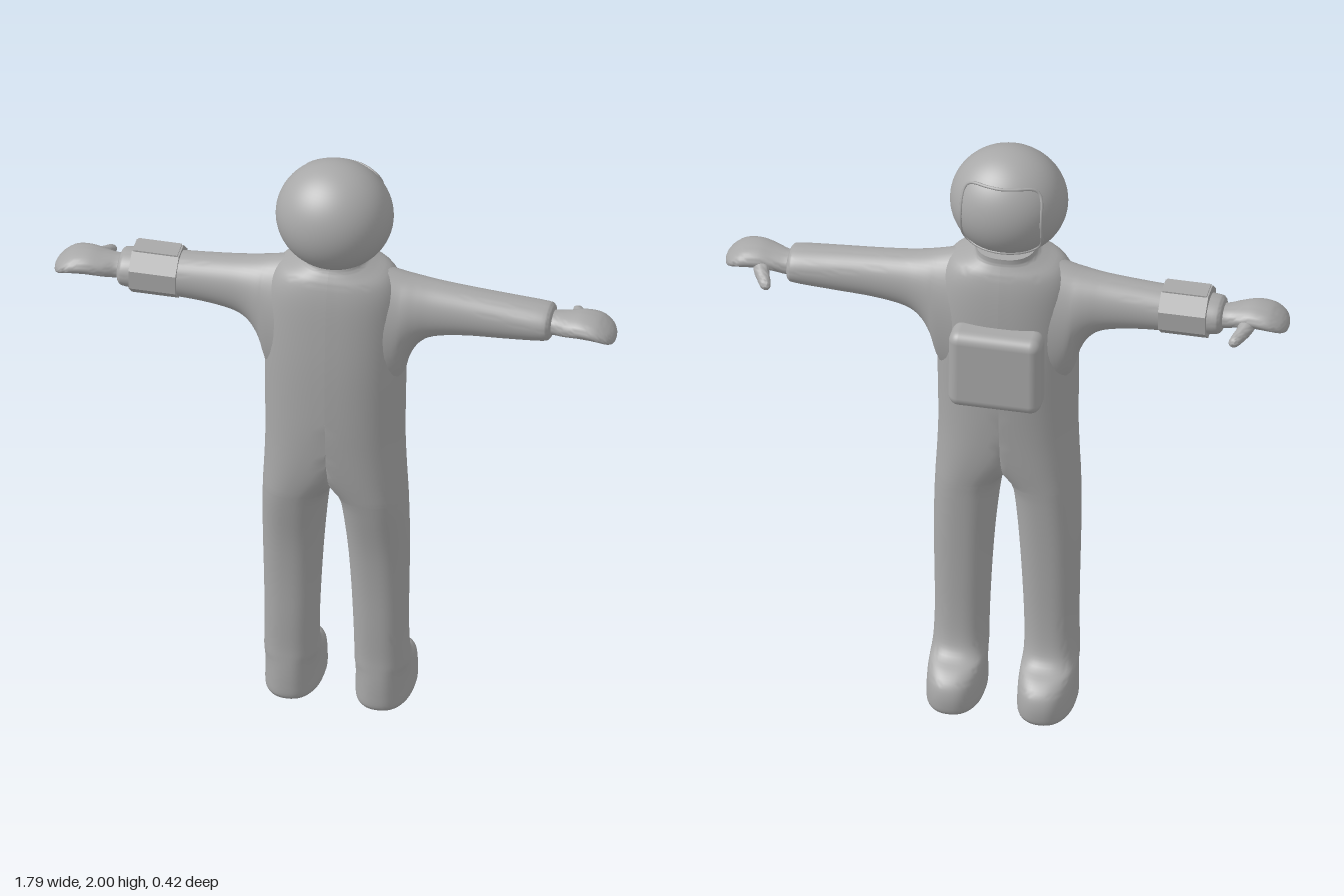
import * as THREE from 'three';
import { toCreasedNormals } from 'three/addons/utils/BufferGeometryUtils.js';
import { RoundedBoxGeometry } from 'three/addons/geometries/RoundedBoxGeometry.js';

// Catmull-Rom resampling of table rows
function resample(rows, steps) {
  const out = [];
  const row = i => rows[Math.min(rows.length - 1, Math.max(0, i))];
  for (let i = 0; i < rows.length - 1; i++) {
    for (let k = 0; k < steps; k++) {
      const t = k / steps;
      out.push(row(i).map((p1, c) => {
        const p0 = row(i - 1)[c], p2 = row(i + 1)[c], p3 = row(i + 2)[c];
        return p1 + 0.5 * t * (p2 - p0 + t * (2 * p0 - 5 * p1 + 4 * p2 - p3 + t * (3 * (p1 - p2) + p3 - p0)));
      }));
    }
  }
  out.push(rows[rows.length - 1]);
  return out;
}

// Loft of superellipse sections; row = [s, aMin, aMax, bMin, bMax], place maps (s, a, b) to xyz
function loft(rows, place, flip, power = 2.3, steps = 4, n = 48) {
  const rings = resample(rows, steps), pos = [], idx = [];
  const bend = v => Math.sign(v) * Math.pow(Math.abs(v), 2 / power);
  const tri = (a, b, c) => (flip ? idx.push(a, c, b) : idx.push(a, b, c));
  for (const [s, a0, a1, b0, b1] of rings) {
    for (let j = 0; j < n; j++) {
      const t = (j / n) * Math.PI * 2;
      pos.push(...place(s, (a0 + a1) / 2 + (a1 - a0) / 2 * bend(Math.cos(t)), (b0 + b1) / 2 + (b1 - b0) / 2 * bend(Math.sin(t))));
    }
  }
  for (let i = 0; i < rings.length - 1; i++) {
    for (let j = 0; j < n; j++) {
      const a = i * n + j, b = i * n + (j + 1) % n;
      tri(a, b, b + n);
      tri(a, b + n, a + n);
    }
  }
  // end caps
  for (const [ring, start] of [[rings[0], 0], [rings[rings.length - 1], (rings.length - 1) * n]]) {
    const c = pos.length / 3;
    pos.push(...place(ring[0], (ring[1] + ring[2]) / 2, (ring[3] + ring[4]) / 2));
    for (let j = 0; j < n; j++) {
      const a = start + j, b = start + (j + 1) % n;
      if (start) tri(a, b, c); else tri(b, a, c);
    }
  }
  const g = new THREE.BufferGeometry();
  g.setAttribute('position', new THREE.Float32BufferAttribute(pos, 3));
  g.setIndex(idx);
  return toCreasedNormals(g, 0.9);
}

// Half of the suit: boot, leg and torso up to the collar [y, xMin, xMax, zMin, zMax]
const BODY = [
  [0, 0.064, 0.226, -0.195, 0.086],
  [0.015, 0.055, 0.234, -0.204, 0.094],
  [0.06, 0.055, 0.234, -0.206, 0.096],
  [0.1, 0.056, 0.233, -0.193, 0.096],
  [0.13, 0.057, 0.232, -0.158, 0.095],
  [0.155, 0.058, 0.231, -0.105, 0.094],
  [0.2, 0.059, 0.229, -0.08, 0.093],
  [0.3, 0.057, 0.227, -0.072, 0.096],
  [0.45, 0.05, 0.229, -0.074, 0.1],
  [0.6, 0.04, 0.231, -0.08, 0.113],
  [0.74, 0.026, 0.229, -0.088, 0.138],
  [0.79, 0.014, 0.227, -0.092, 0.147],
  [0.82, -0.006, 0.226, -0.095, 0.152],
  [0.9, -0.08, 0.222, -0.104, 0.163],
  [1.0, -0.16, 0.219, -0.113, 0.173],
  [1.12, -0.22, 0.22, -0.122, 0.18],
  [1.3, -0.222, 0.222, -0.13, 0.18],
  [1.45, -0.222, 0.222, -0.128, 0.172],
  [1.55, -0.212, 0.212, -0.12, 0.162],
  [1.61, -0.18, 0.18, -0.107, 0.148],
  [1.64, -0.125, 0.125, -0.092, 0.132],
  [1.655, -0.1, 0.1, -0.085, 0.122],
  [1.675, -0.095, 0.095, -0.085, 0.115],
];
// Sleeve, flared into the shoulder [x, yMin, yMax, zMin, zMax]
const ARM = [
  [0.11, 1.1, 1.635, -0.105, 0.145],
  [0.2, 1.2, 1.612, -0.095, 0.125],
  [0.235, 1.31, 1.603, -0.085, 0.112],
  [0.27, 1.373, 1.596, -0.076, 0.1],
  [0.32, 1.406, 1.589, -0.068, 0.091],
  [0.42, 1.424, 1.58, -0.062, 0.085],
  [0.55, 1.433, 1.57, -0.06, 0.083],
  [0.665, 1.443, 1.56, -0.06, 0.081],
  [0.688, 1.452, 1.552, -0.053, 0.073],
  [0.694, 1.468, 1.538, -0.036, 0.056],
];
// Mitten [x, yMin, yMax, zMin, zMax]
const HAND = [
  [0.66, 1.462, 1.54, -0.035, 0.055],
  [0.7, 1.465, 1.537, -0.035, 0.057],
  [0.74, 1.473, 1.542, -0.04, 0.075],
  [0.79, 1.48, 1.55, -0.047, 0.087],
  [0.84, 1.48, 1.542, -0.05, 0.09],
  [0.875, 1.473, 1.52, -0.036, 0.08],
  [0.891, 1.47, 1.503, -0.012, 0.058],
  [0.896, 1.478, 1.492, 0.01, 0.035],
];
// Thumb, running toward the front [z distance, xMin, xMax, yMin, yMax]
const THUMB = [
  [0.0, 0.745, 0.81, 1.487, 1.535],
  [0.05, 0.745, 0.795, 1.475, 1.517],
  [0.08, 0.735, 0.778, 1.467, 1.505],
  [0.105, 0.73, 0.763, 1.465, 1.495],
  [0.115, 0.738, 0.752, 1.473, 1.485],
];

export function createModel() {
  const model = new THREE.Group();
  model.name = 'astronaut';
  const suitGrey = new THREE.MeshStandardMaterial({ color: 0xa8a8a8 });
  suitGrey.name = 'suitGrey';
  const add = (name, geometry, x = 0, y = 0, z = 0) => {
    const mesh = new THREE.Mesh(geometry, suitGrey);
    mesh.name = name;
    mesh.position.set(x, y, z);
    model.add(mesh);
    return mesh;
  };

  for (const [side, label] of [[1, 'left'], [-1, 'right']]) {
    const mirrored = side < 0;
    // above the crotch the inner side is clamped to the centre plane
    add(label + 'BodyHalf', loft(BODY, (y, x, z) => [side * Math.max(0, x), y, z], !mirrored, 2.4));
    add(label + 'Arm', loft(ARM, (x, y, z) => [side * x, y, z], mirrored, 2.1));
    add(label + 'Hand', loft(HAND, (x, y, z) => [side * x, y, z], mirrored, 2.1, 4, 32));
    add(label + 'Thumb', loft(THUMB, (d, x, y) => [side * x, y, -d], !mirrored, 2, 4, 20));
  }

  // helmet
  const centre = new THREE.Vector3(0, 1.822, 0.04);
  const radii = new THREE.Vector3(0.185, 0.178, 0.17);
  const helmet = new THREE.SphereGeometry(1, 64, 40);
  helmet.scale(radii.x, radii.y, radii.z);
  add('helmet', helmet, centre.x, centre.y, centre.z);

  // rim of the visor: a rounded rectangle laid on the helmet
  const rim = [];
  for (let i = 0; i < 64; i++) {
    const t = (i / 64) * Math.PI * 2;
    const round = v => Math.sign(v) * Math.pow(Math.abs(v), 0.4);
    const x = 0.128 * round(Math.cos(t)), y = 0.12 * round(Math.sin(t));
    const d = 1 - (x / radii.x) ** 2 - (y / radii.y) ** 2;
    rim.push(new THREE.Vector3(x, y, -radii.z * Math.sqrt(Math.max(0.03, d))));
  }
  const rimCurve = new THREE.CatmullRomCurve3(rim, true);
  add('visorRim', new THREE.TubeGeometry(rimCurve, 128, 0.005, 8, true), centre.x, centre.y, centre.z);

  // chest pack
  const pack = add('chestPack', new RoundedBoxGeometry(0.295, 0.27, 0.11, 5, 0.035), 0, 1.307, -0.147);
  pack.rotation.x = 0.03;

  // faceted forearm cuff with a flat panel on top
  const cuff = new THREE.CylinderGeometry(1, 1, 0.15, 8);
  cuff.rotateY(Math.PI / 8);
  cuff.rotateZ(Math.PI / 2);
  cuff.scale(1, 0.083, 0.09);
  add('forearmCuff', toCreasedNormals(cuff, 0.4), -0.573, 1.507, 0.01);
  add('cuffPanel', new THREE.BoxGeometry(0.14, 0.008, 0.07), -0.573, 1.584, 0.01);
  return model;
}
